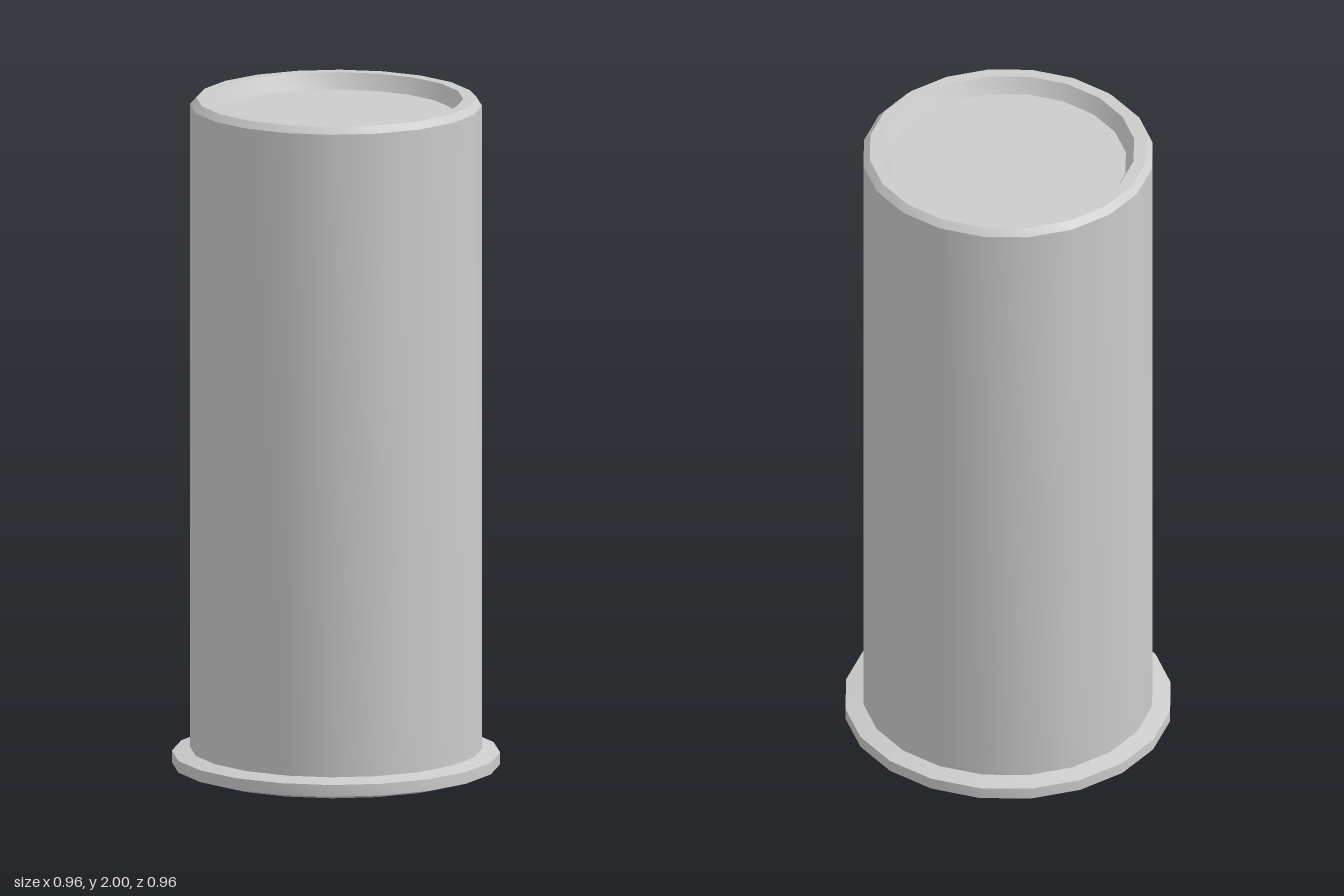
import * as THREE from 'three';
import { toCreasedNormals } from 'three/addons/utils/BufferGeometryUtils.js';

const SIDES = 20;

// Turned part from [radius, height] pairs, smooth around and sharp at the rings
function turned(name, profile, material) {
  const points = profile.map(([r, y]) => new THREE.Vector2(r, y));
  const geometry = toCreasedNormals(new THREE.LatheGeometry(points, SIDES), Math.PI / 8);
  const mesh = new THREE.Mesh(geometry, material);
  mesh.name = name;
  return mesh;
}

export function createModel() {
  const group = new THREE.Group();
  group.name = 'flangedCylinder';
  const grey = new THREE.MeshStandardMaterial({ color: 0xcccccc });

  // Base rim: shallow chamfer below, sloping top that meets the tube
  group.add(turned('baseRim', [
    [0, 0], [0.43, 0], [0.48, 0.015], [0.48, 0.05], [0.427, 0.062],
  ], grey));

  // Tube with a bevelled lip
  group.add(turned('tube', [
    [0.427, 0.062], [0.427, 1.98], [0.408, 2], [0.372, 2],
  ], grey));

  // Recessed end cap with a tapered wall
  group.add(turned('recessedCap', [
    [0.372, 2], [0.348, 1.953], [0, 1.953],
  ], grey));

  return group;
}
